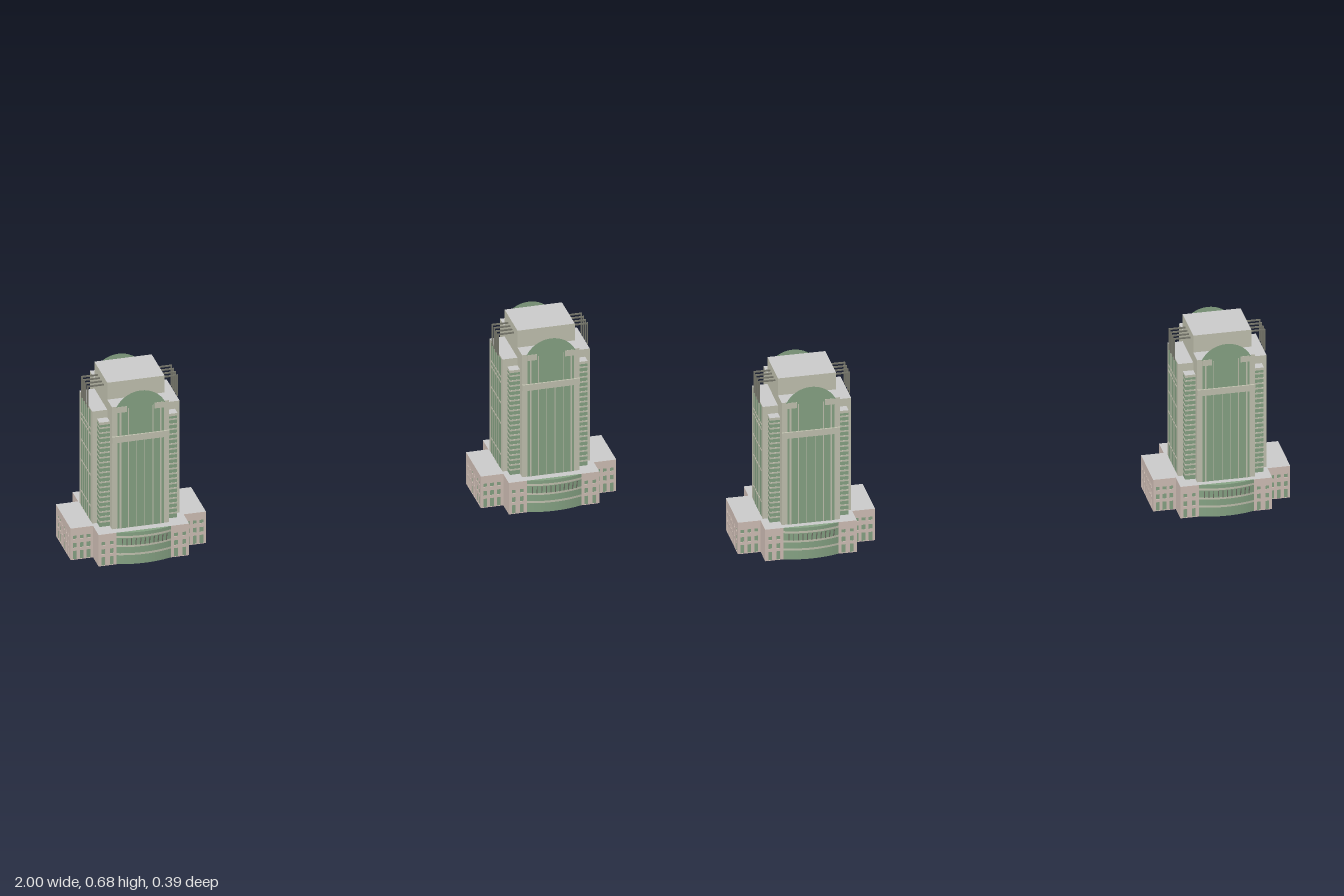
import * as THREE from 'three';

const mat = (color, side = THREE.FrontSide) =>
  new THREE.MeshStandardMaterial({ color, side, flatShading: true });
const STONE = mat(0xc2c2b0);
const GLASS = mat(0x86a384, THREE.DoubleSide);
const PINK = mat(0xd0bfb6);
const ROOF = mat(0xcccccc, THREE.DoubleSide);
const METAL = mat(0x77776c);

const H = 0.125; // podium height
const WING = { x: 0.248, z: 0.098 };
const CORE = { x: 0.166, z: 0.172 };

function add(parent, name, geometry, material, x = 0, y = 0, z = 0) {
  const mesh = new THREE.Mesh(geometry, material);
  mesh.name = name;
  mesh.position.set(x, y, z);
  parent.add(mesh);
  return mesh;
}

// box given by its centre in plan and its bottom and top heights
function block(parent, name, w, d, y0, y1, material, x = 0, z = 0) {
  return add(parent, name, new THREE.BoxGeometry(w, y1 - y0, d), material, x, (y0 + y1) / 2, z);
}

const capped = (side) => [side, side, ROOF, side, side, side];

// podium wall with rows of window openings and glass behind
function wall(parent, name, width, columns, x, z, turn) {
  const g = new THREE.Group();
  g.name = name;
  const s = new THREE.Shape();
  s.moveTo(-width / 2, 0).lineTo(width / 2, 0).lineTo(width / 2, H).lineTo(-width / 2, H).closePath();
  for (const c of columns) {
    for (const [a, b] of [[0.001, 0.035], [0.046, 0.066], [0.081, 0.095]]) {
      const h = new THREE.Path();
      h.moveTo(c - 0.007, a).lineTo(c - 0.007, b).lineTo(c + 0.007, b).lineTo(c + 0.007, a).closePath();
      s.holes.push(h);
    }
  }
  const geo = new THREE.ExtrudeGeometry(s, { depth: 0.003, bevelEnabled: false });
  add(g, 'masonry', geo.translate(0, 0, -0.003), PINK);
  add(g, 'windowGlass', new THREE.PlaneGeometry(width, H), GLASS, 0, H / 2, -0.0035);
  g.position.set(x, 0, z);
  g.rotation.y = turn;
  parent.add(g);
}

// curved glazed entrance on the front and back
function bow(parent, turn) {
  const g = new THREE.Group();
  g.name = 'bowedEntrance';
  const half = 0.1, R = 0.3205, a = Math.asin(half / R), cz = 0.187 - R;
  const band = (name, r, y0, y1, m) => add(g, name,
    new THREE.CylinderGeometry(r, r, y1 - y0, 16, 1, true, -a, 2 * a), m, 0, (y0 + y1) / 2, cz);
  band('bowGlass', R, 0, H, GLASS);
  const stoneBand = mat(0xc2c2b0, THREE.DoubleSide);
  for (const y of [0.036, 0.068, 0.104]) band('bowBand', R + 0.001, y, y + 0.008, stoneBand);
  const s = new THREE.Shape();
  s.absarc(0, 0, R, Math.PI / 2 - a, Math.PI / 2 + a, false);
  add(g, 'bowCap', new THREE.ShapeGeometry(s, 16).rotateX(Math.PI / 2), GLASS, 0, H, cz);
  // sloping brackets fanned along the curve
  for (let i = -5; i <= 5; i++) {
    const t = (i / 5) * a * 0.8;
    const fin = add(g, 'awningBracket', new THREE.BoxGeometry(0.003, 0.03, 0.003), METAL,
      Math.sin(t) * (R + 0.003), 0.09, cz + Math.cos(t) * (R + 0.003));
    fin.rotation.set(0.2, t, 0, 'YXZ');
  }
  g.rotation.y = turn;
  parent.add(g);
}

function podium() {
  const g = new THREE.Group();
  g.name = 'podium';
  for (const sx of [-1, 1]) {
    wall(g, 'wingEndWall', WING.z * 2, [-0.072, -0.044, -0.0145, 0.0145, 0.044, 0.072],
      sx * WING.x, 0, sx * Math.PI / 2);
    for (const sz of [-1, 1]) {
      const turn = sz > 0 ? 0 : Math.PI;
      wall(g, 'wingSideWall', WING.x - CORE.x, [-0.025, 0, 0.025],
        sx * (WING.x + CORE.x) / 2, sz * WING.z, turn);
      wall(g, 'coreFrontWall', CORE.x - 0.1, [-0.015, 0.015],
        sx * (CORE.x + 0.1) / 2, sz * CORE.z, turn);
      wall(g, 'coreFlankWall', CORE.z - WING.z, [],
        sx * CORE.x, sz * (CORE.z + WING.z) / 2, sx * Math.PI / 2);
    }
  }
  // cross-shaped roof
  const s = new THREE.Shape([
    [WING.x, -WING.z], [WING.x, WING.z], [CORE.x, WING.z], [CORE.x, CORE.z],
    [-CORE.x, CORE.z], [-CORE.x, WING.z], [-WING.x, WING.z], [-WING.x, -WING.z],
    [-CORE.x, -WING.z], [-CORE.x, -CORE.z], [CORE.x, -CORE.z], [CORE.x, -WING.z],
  ].map(([x, y]) => new THREE.Vector2(x, y)));
  add(g, 'podiumRoof', new THREE.ShapeGeometry(s).rotateX(-Math.PI / 2), ROOF, 0, H + 0.0003, 0);
  bow(g, 0);
  bow(g, Math.PI);
  return g;
}

// arched curtain wall; the arch stands free above the shoulder
function archedFacade(parent, turn) {
  const g = new THREE.Group();
  g.name = 'archedFacade';
  const s = new THREE.Shape();
  s.moveTo(-0.085, H).lineTo(0.085, H).lineTo(0.085, 0.605);
  s.absarc(0, 0.5642, 0.0988, 0.426, Math.PI - 0.426, false);
  s.lineTo(-0.085, 0.605);
  add(g, 'archGlass', new THREE.ShapeGeometry(s, 24), GLASS, 0, 0, 0.1475);
  block(g, 'ledge', 0.21, 0.008, 0.469, 0.493, STONE, 0, 0.149);
  for (const sx of [-1, 1]) {
    block(g, 'shoulderPanel', 0.034, 0.002, 0.585, 0.608, STONE, sx * 0.068, 0.1475);
    block(g, 'mullion', 0.006, 0.002, H, 0.6, STONE, sx * 0.074, 0.1475);
    block(g, 'mullion', 0.003, 0.002, H, 0.6, STONE, sx * 0.045, 0.1475);
    block(g, 'mullion', 0.002, 0.002, H, 0.469, STONE, sx * 0.015, 0.1475);
  }
  g.rotation.y = turn;
  parent.add(g);
}

// side curtain wall with its grid and roof frames
function sideFacade(parent, turn) {
  const g = new THREE.Group();
  g.name = 'sideFacade';
  add(g, 'sideGlass', new THREE.PlaneGeometry(0.13, 0.438), GLASS, 0, 0.345, 0.1605);
  for (const z of [-0.039, -0.013, 0.013, 0.039]) {
    block(g, 'mullion', 0.004, 0.002, H, 0.564, STONE, z, 0.1605);
    // roof frame: an outrigger and its post
    block(g, 'roofFrameBar', 0.005, 0.061, 0.645, 0.65, METAL, z, 0.1355);
    block(g, 'roofFramePost', 0.005, 0.005, 0.565, 0.65, METAL, z, 0.1635);
  }
  for (const y of [0.185, 0.308, 0.389, 0.471, 0.492])
    block(g, 'transom', 0.13, 0.002, y - 0.003, y + 0.003, STONE, 0, 0.1605);
  g.rotation.y = turn;
  parent.add(g);
}

function shaft() {
  const g = new THREE.Group();
  g.name = 'shaft';
  const y0 = H + 0.0006;
  block(g, 'frontToBackSlab', 0.21, 0.293, y0, 0.61, capped(STONE));
  block(g, 'sideToSideSlab', 0.32, 0.17, y0, 0.57, capped(STONE));
  block(g, 'penthouse', 0.21, 0.17, 0.6, 0.677, capped(STONE));
  // glazed inner corners with a stone strip at every floor
  block(g, 'cornerGlazing', 0.284, 0.236, y0, 0.53, GLASS);
  block(g, 'cornerCap', 0.286, 0.238, 0.53, 0.54, capped(STONE));
  for (let i = 0; i < 20; i++) {
    const y = 0.142 + i * 0.0196;
    block(g, 'floorStrip', 0.286, 0.238, y, y + 0.006, STONE);
  }
  archedFacade(g, 0);
  archedFacade(g, Math.PI);
  sideFacade(g, Math.PI / 2);
  sideFacade(g, -Math.PI / 2);
  g.position.set(-0.004, 0, -0.004);
  return g;
}

export function createModel() {
  const model = new THREE.Group();
  model.name = 'twinTowers';
  for (const x of [-0.752, 0.752]) {
    const tower = new THREE.Group();
    tower.name = x < 0 ? 'rightTower' : 'leftTower';
    tower.add(podium(), shaft());
    tower.position.x = x;
    model.add(tower);
  }
  return model;
}
